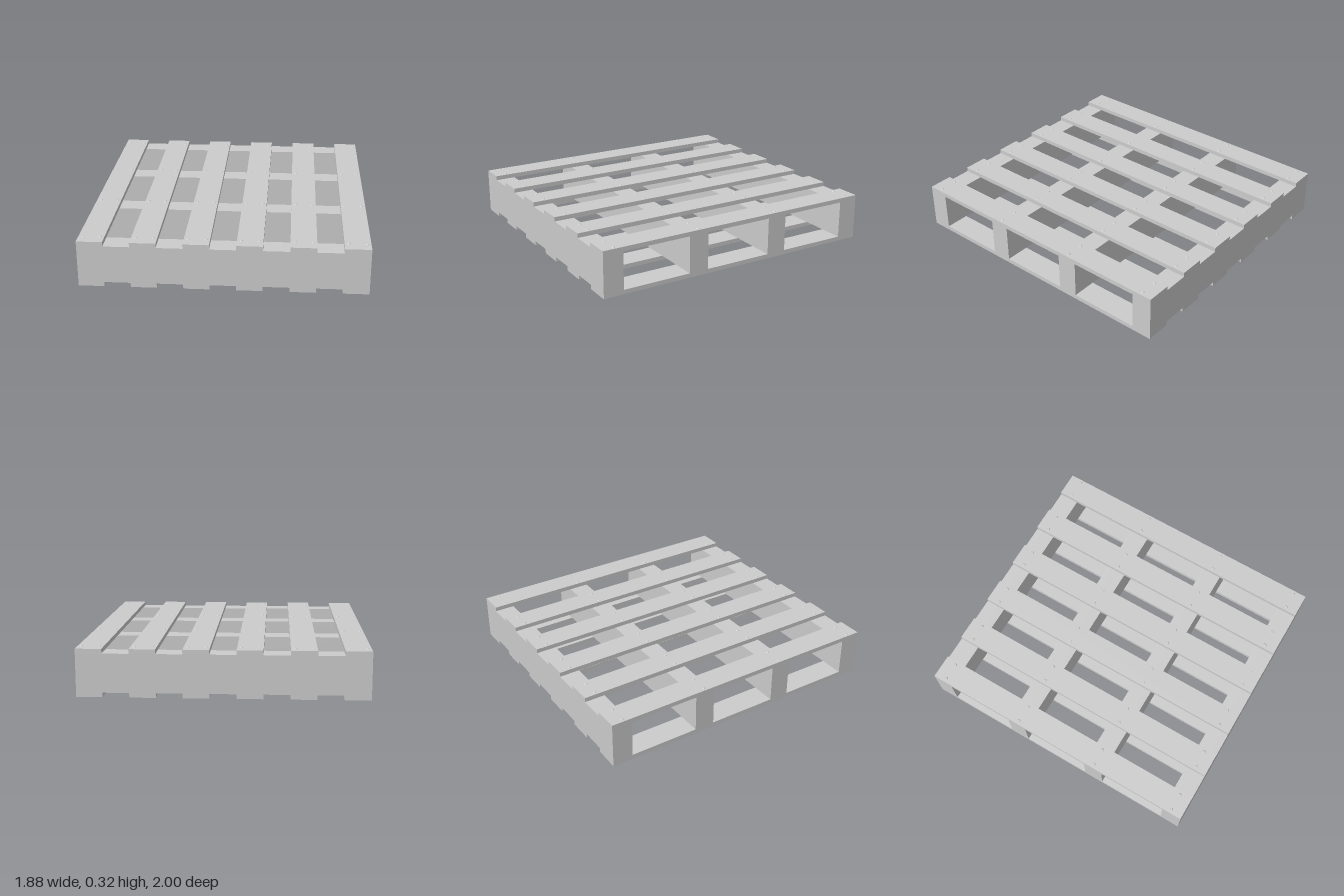
import * as THREE from 'three';

const WIDTH = 1.88, LENGTH = 2, TOP = 0.315;
const BOARD_W = 0.17, BOARD_T = 0.03, BEAM_W = 0.14;
const BOARD_X = [-0.855, -0.513, -0.171, 0.171, 0.513, 0.855];
const BEAM_Z = [-0.93, -0.31, 0.31, 0.93];

export function createModel() {
  const pallet = new THREE.Group();
  pallet.name = 'pallet';
  const wood = new THREE.MeshStandardMaterial({ color: 0xcccccc, flatShading: true });
  const metal = new THREE.MeshStandardMaterial({ color: 0xcccccc });

  const add = (name, geometry, material, x, y, z) => {
    const mesh = new THREE.Mesh(geometry, material);
    mesh.name = name;
    mesh.position.set(x, y, z);
    pallet.add(mesh);
  };

  // Solid cross beams
  const beamHeight = TOP - 2 * BOARD_T;
  const beam = new THREE.BoxGeometry(WIDTH, beamHeight, BEAM_W);
  for (const z of BEAM_Z) add('crossBeam', beam, wood, 0, TOP / 2, z);

  // Deck boards above and below, with a pair of nails at every upper crossing
  const board = new THREE.BoxGeometry(BOARD_W, BOARD_T, LENGTH);
  const nail = new THREE.CylinderGeometry(0.008, 0.012, 0.005, 12);
  for (const x of BOARD_X) {
    add('topBoard', board, wood, x, TOP - BOARD_T / 2, 0);
    add('bottomBoard', board, wood, x, BOARD_T / 2, 0);
    for (const z of BEAM_Z) {
      for (const side of [-1, 1]) {
        add('nailHead', nail, metal, x + side * 0.058, TOP + 0.0015, z * 0.985);
      }
    }
  }
  return pallet;
}
